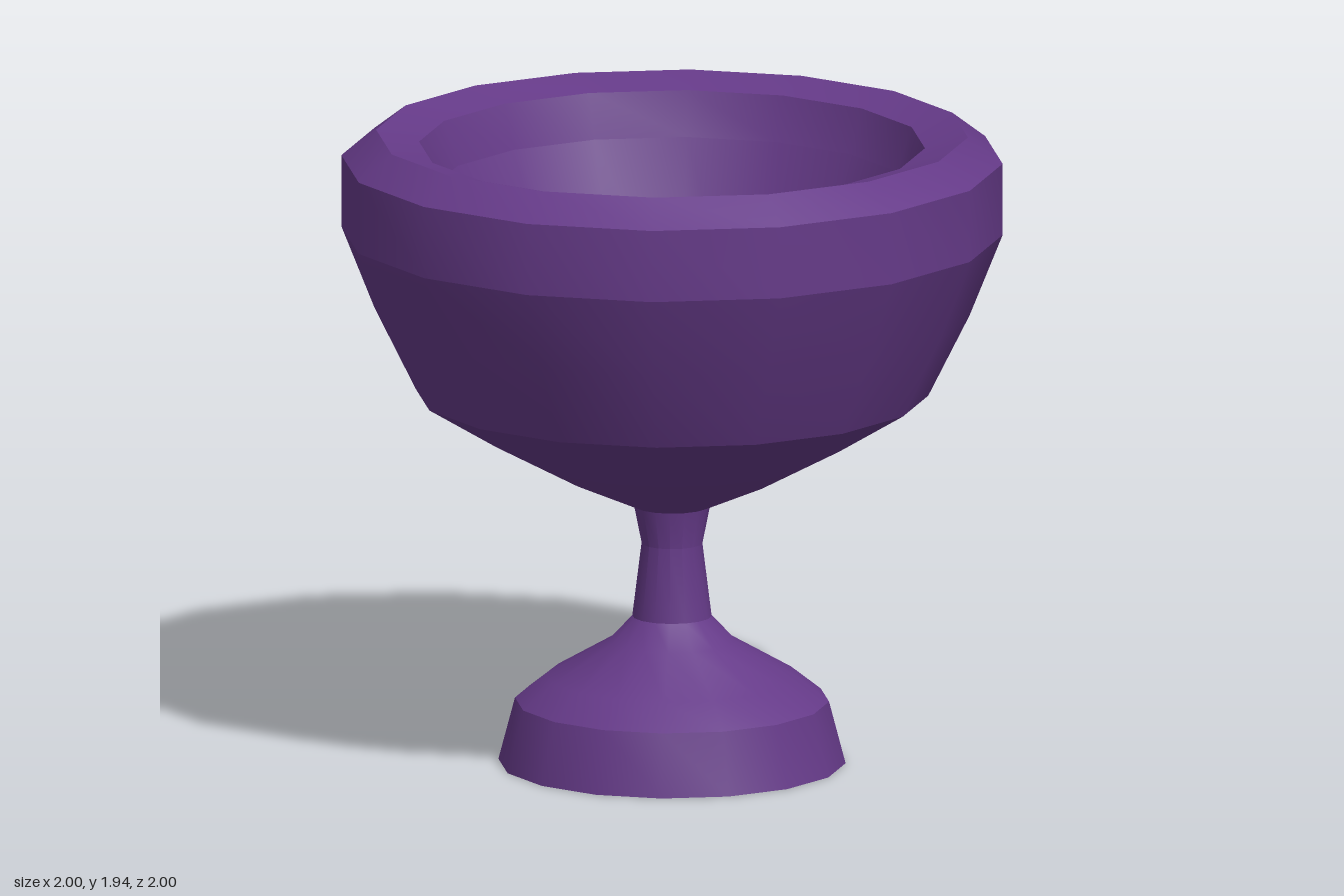
import * as THREE from 'three';
import { toCreasedNormals } from 'three/addons/utils/BufferGeometryUtils.js';

const SIDES = 16;

export function createModel() {
  const goblet = new THREE.Group();
  goblet.name = 'goblet';
  const material = new THREE.MeshStandardMaterial({ color: 0x653a88 });

  // Each part is a turned [radius, height] profile, running up the outside and down the inside
  const turn = (name, profile) => {
    const points = profile.map(([r, y]) => new THREE.Vector2(r, y));
    const geometry = toCreasedNormals(new THREE.LatheGeometry(points, SIDES), 0.45);
    const mesh = new THREE.Mesh(geometry, material);
    mesh.name = name;
    goblet.add(mesh);
  };

  // Flat underside, flared skirt and domed top
  turn('foot', [[0.03, 0], [0.525, 0], [0.475, 0.19], [0.38, 0.265], [0.19, 0.375], [0.12, 0.45]]);

  // Waisted stem
  turn('stem', [[0.12, 0.45], [0.092, 0.675], [0.115, 0.79]]);

  // Outside of the bowl
  turn('bowl', [[0.115, 0.79], [0.3, 0.87], [0.56, 1.01], [0.775, 1.14], [0.9, 1.39], [1, 1.64]]);

  // Upright band, chamfer, and lip dipping inward
  turn('rim', [[1, 1.64], [1, 1.86], [0.895, 1.94], [0.765, 1.905], [0.72, 1.77]]);

  // Inside of the bowl, ending in a small well
  turn('bowlInside', [[0.72, 1.77], [0.49, 1.21], [0.27, 1.07], [0.13, 1], [0.115, 0.96], [0.09, 0.84], [0.03, 0.8]]);

  // Narrow hole running down through stem and foot
  turn('bore', [[0.03, 0.8], [0.03, 0]]);

  return goblet;
}
